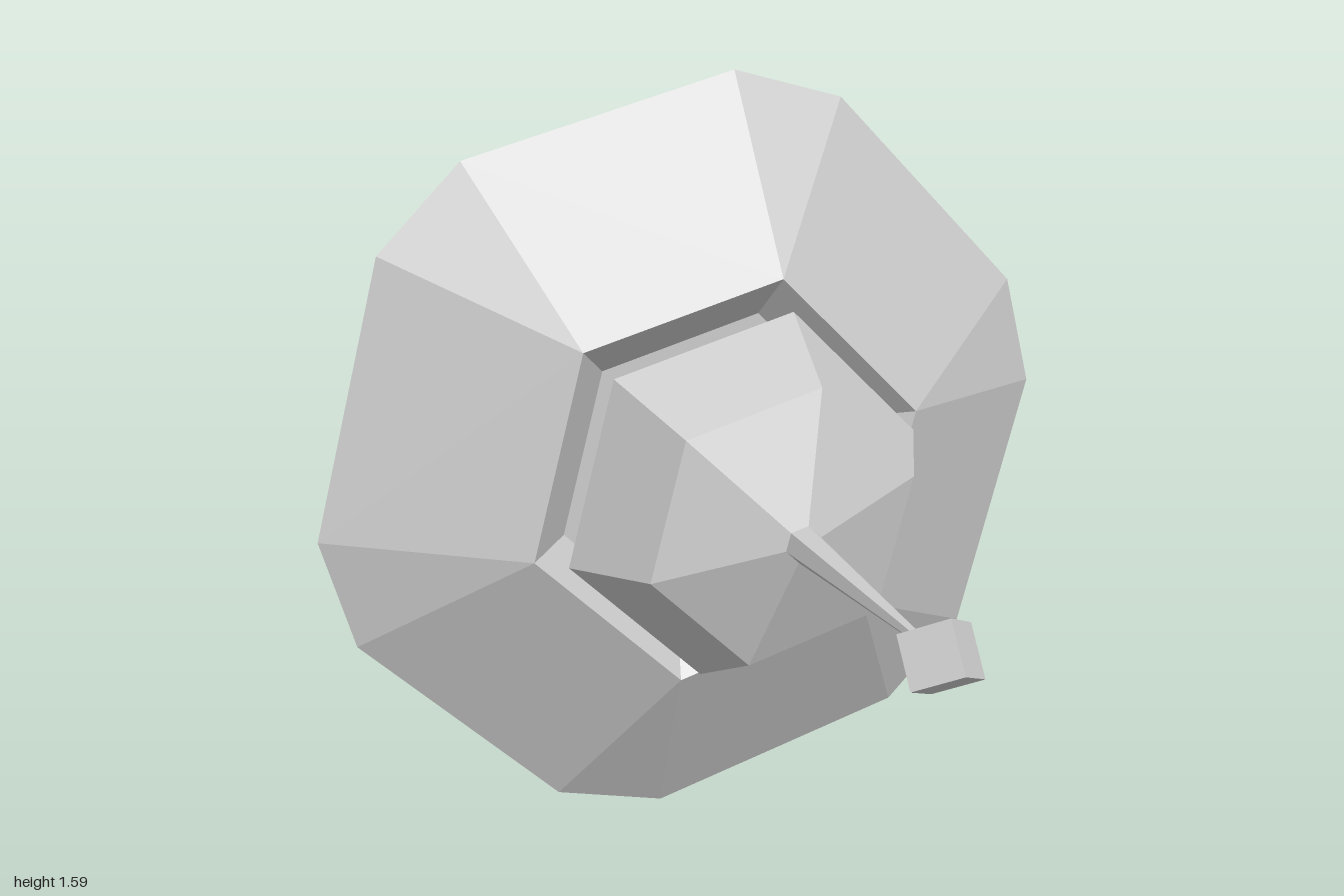
import * as THREE from 'three';

const material = new THREE.MeshStandardMaterial({ color: 0xcccccc, flatShading: true });

// Ring of twelve points in six pairs: spread 0 gives a hexagon, 15 a regular twelve-sided ring.
function ring([z, r, spread = 0]) {
  const points = [];
  for (let k = 0; k < 6; k++) {
    for (const side of [-1, 1]) {
      const a = THREE.MathUtils.degToRad(15 + 60 * k + side * spread);
      points.push(new THREE.Vector3(r * Math.cos(a), r * Math.sin(a), z));
    }
  }
  return points;
}

// Faceted skin through rings [z, radius, spread], listed from front to back.
function loft(name, profile) {
  const rings = profile.map(ring);
  const positions = [];
  const addTriangle = (a, b, c) => {
    if (new THREE.Triangle(a, b, c).getArea() < 1e-8) return;
    for (const p of [a, b, c]) positions.push(p.x, p.y, p.z);
  };
  for (let j = 0; j < rings.length - 1; j++) {
    const front = rings[j], back = rings[j + 1];
    for (let i = 0; i < 12; i++) {
      const n = (i + 1) % 12;
      addTriangle(front[i], back[i], back[n]);
      addTriangle(front[i], back[n], front[n]);
    }
  }
  const geometry = new THREE.BufferGeometry();
  geometry.setAttribute('position', new THREE.Float32BufferAttribute(positions, 3));
  geometry.computeVertexNormals();
  const mesh = new THREE.Mesh(geometry, material);
  mesh.name = name;
  return mesh;
}

export function createModel() {
  const model = new THREE.Group();
  model.name = 'station';
  const body = new THREE.Group();
  body.name = 'body';
  body.position.y = 0.793;
  model.add(body);

  body.add(
    // Wide saucer: hexagonal front opening, bevelled rim, shallow rear cone
    loft('hull', [[0.025, 0.425], [-0.18, 0.798, 8.7], [-0.41, 0.576, 15], [-0.475, 0, 15]]),
    // Sunken hexagonal seat around the pod
    loft('recess', [[-0.05, 0.28], [-0.05, 0.34], [0.025, 0.425]]),
    // Hexagonal pod with a narrow neck
    loft('pod', [[0.4, 0], [0.3, 0.276], [0.105, 0.377], [0.035, 0.298], [-0.05, 0.298]]),
    // Tapered booms
    loft('frontBoom', [[0.86, 0.008], [0.385, 0.036]]),
    loft('rearBoom', [[-0.45, 0.092], [-0.465, 0.09], [-0.83, 0.02]]),
    // Double cone dish at the rear
    loft('rearDish', [[-0.82, 0, 15], [-0.82, 0.022, 15], [-0.91, 0.28, 15], [-1, 0, 15]])
  );

  // Cube standing on its corner at the front tip
  const side = 0.093;
  const cube = new THREE.Mesh(new THREE.BoxGeometry(side, side, side), material);
  cube.name = 'tipCube';
  cube.rotation.set(-Math.atan(Math.SQRT1_2), Math.PI / 4, 0);
  cube.position.z = 1 - side * Math.sqrt(3) / 2;
  body.add(cube);

  return model;
}
